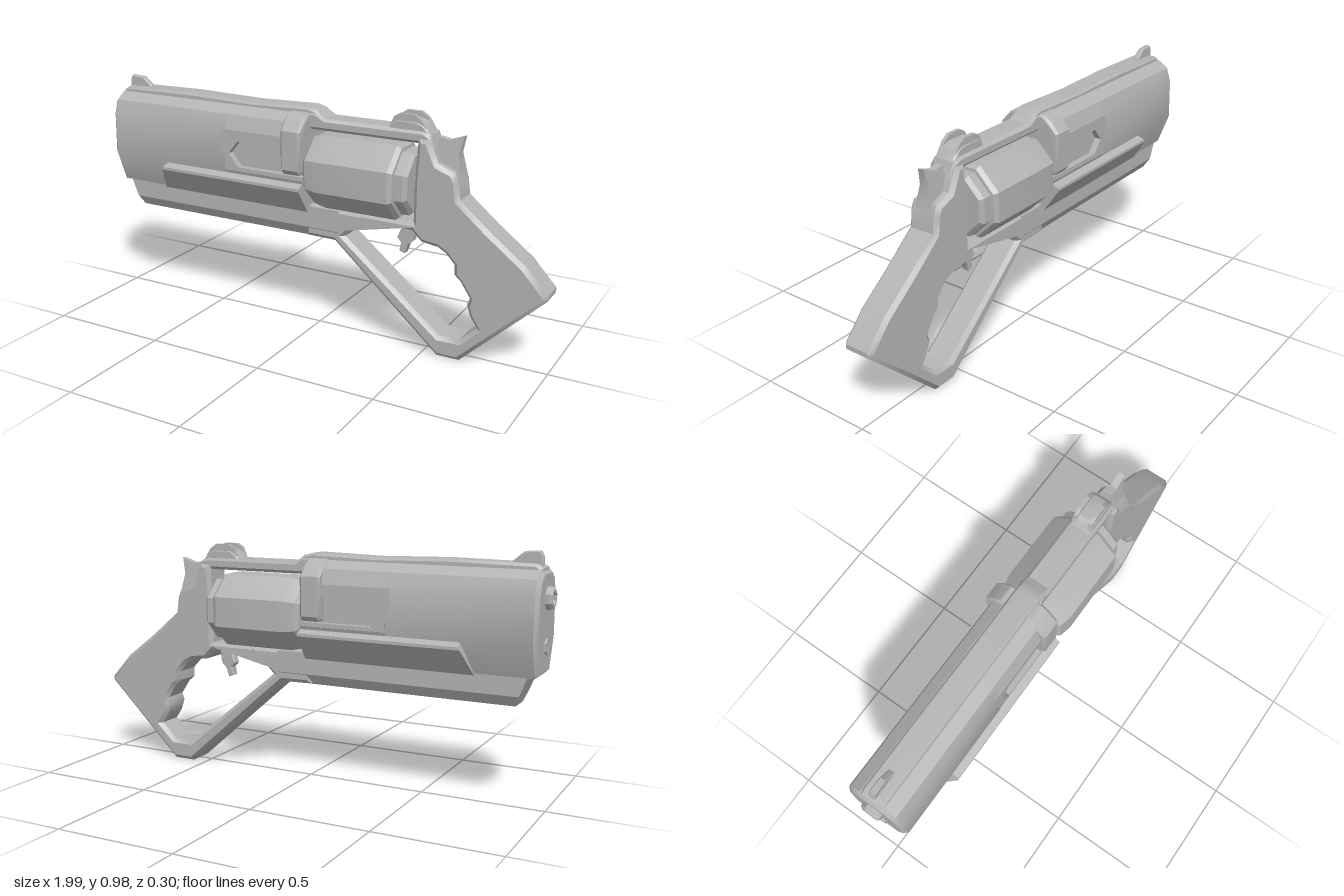
import * as THREE from 'three';
import { toCreasedNormals } from 'three/addons/utils/BufferGeometryUtils.js';

const grey = new THREE.MeshStandardMaterial({ color: 0xb4b4b4 });
grey.name = 'grey metal';

const toShape = (pts) => new THREE.Shape(pts.map(([x, y]) => new THREE.Vector2(x, y)));

// Extrusion of given total depth, centred on z = 0, outline kept at full size
function extrude(pts, depth, bevel, holes = []) {
  const shape = toShape(pts);
  holes.forEach((h) => shape.holes.push(toShape(h)));
  const geo = new THREE.ExtrudeGeometry(shape, {
    depth: depth - 2 * bevel,
    bevelEnabled: bevel > 0,
    bevelThickness: bevel,
    bevelSize: bevel,
    bevelOffset: -bevel,
    bevelSegments: 1,
  });
  geo.translate(0, 0, -(depth / 2 - bevel));
  return geo;
}

// Side profile (x, y) with thickness across z
const profile = (pts, halfWidth, bevel = 0, holes) => extrude(pts, halfWidth * 2, bevel, holes);

// Half cross-section (z, y), top to bottom, mirrored and run along x
function section(half, x0, x1, bevel = 0) {
  const mirrored = half.map(([z, y]) => [-z, y]).reverse();
  const geo = extrude([...half, ...mirrored], x1 - x0, bevel);
  geo.rotateY(Math.PI / 2);
  geo.translate((x0 + x1) / 2, 0, 0);
  return geo;
}

// Turned part along x: points are [x, radius]
function turned(pts, sides, y, phase = Math.PI / sides) {
  const geo = new THREE.LatheGeometry(pts.map(([x, r]) => new THREE.Vector2(r, x)), sides, phase);
  geo.rotateZ(-Math.PI / 2);
  geo.translate(0, y, 0);
  return geo;
}

export function createModel() {
  const model = new THREE.Group();
  const add = (name, geo, crease = 0.5) => {
    const mesh = new THREE.Mesh(toCreasedNormals(geo, crease), grey);
    mesh.name = name;
    model.add(mesh);
    return mesh;
  };

  // Barrel shroud: solid front block, then a slotted rear part
  add('shroudFront', section(
    [[0.055, 0.92], [0.1, 0.89], [0.12, 0.83], [0.125, 0.66], [0.075, 0.525]], -0.975, -0.37, 0.015));
  add('shroudCore', section(
    [[0.055, 0.92], [0.1, 0.89], [0.12, 0.83], [0.095, 0.825], [0.095, 0.665], [0.125, 0.66], [0.075, 0.525]],
    -0.4, -0.015));
  const slotPlate = [
    [-0.4, 0.66], [-0.015, 0.66], [-0.015, 0.675], [-0.32, 0.675], [-0.365, 0.73],
    [-0.32, 0.785], [-0.015, 0.785], [-0.015, 0.83], [-0.4, 0.83],
  ];
  for (const side of [1, -1]) {
    const plate = profile(slotPlate, 0.016);
    plate.translate(0, 0, side * 0.107);
    add(side > 0 ? 'slotPlateLeft' : 'slotPlateRight', plate);
  }

  // Lower side ledges, with raked front ends
  const ledge = section([[0.11, 0.65], [0.15, 0.632], [0.15, 0.62], [0.08, 0.518]], -0.7, -0.015);
  const p = ledge.attributes.position;
  for (let i = 0; i < p.count; i++) {
    if (p.getX(i) < -0.6) p.setX(i, -0.69 - (0.635 - p.getY(i)) * 0.35);
  }
  add('sideLedges', ledge);

  // Bracket at the rear of the shroud
  add('rearBracket', section(
    [[0.07, 0.925], [0.1, 0.905], [0.14, 0.86], [0.14, 0.7], [0.125, 0.68]], -0.108, -0.018, 0.01));

  // Muzzle ring and lower bore
  add('muzzle', turned(
    [[-0.9, 0.026], [-1, 0.026], [-1, 0.036], [-0.99, 0.045], [-0.96, 0.045]].reverse().map(([x, r]) => [x, r]).reverse()
      .reverse(), 8, 0.815));
  add('muzzleBack', turned([[-0.978, 0], [-0.978, 0.03]].reverse(), 8, 0.815)).material = grey;
  add('lowerBore', turned([[-0.96, 0.03], [-0.983, 0.03], [-0.983, 0.02], [-0.977, 0]], 6, 0.635));

  // Top rail and sights
  add('topRail', profile(
    [[-0.965, 0.9], [-0.02, 0.9], [0.05, 0.9], [0.01, 0.935], [-0.03, 0.945], [-0.3, 0.938],
      [-0.6, 0.945], [-0.94, 0.94], [-0.965, 0.925]], 0.05, 0.01));
  add('frontSight', profile(
    [[-0.955, 0.93], [-0.84, 0.93], [-0.84, 0.945], [-0.885, 0.982], [-0.945, 0.985], [-0.955, 0.965]], 0.013, 0.004));
  add('rearSightBase', profile(
    [[0.31, 0.89], [0.5, 0.89], [0.47, 0.93], [0.44, 0.942], [0.36, 0.942], [0.34, 0.93]], 0.045, 0.008));
  for (const side of [1, -1]) {
    const ear = profile(
      [[0.33, 0.915], [0.48, 0.915], [0.46, 0.945], [0.43, 0.965], [0.37, 0.965], [0.345, 0.95]], 0.008);
    ear.translate(0, 0, side * 0.034);
    add(side > 0 ? 'rearSightLeft' : 'rearSightRight', ear);
  }

  // Under-barrel rail with chamfered lower edges and sloped nose
  const rail = section([[0.07, 0.54], [0.07, 0.45], [0.045, 0.408]], -0.92, 0.12);
  const r = rail.attributes.position;
  for (let i = 0; i < r.count; i++) {
    if (r.getX(i) < -0.9) r.setX(i, -0.885 - (r.getY(i) - 0.41) * 0.4);
  }
  add('underRail', rail);

  // Frame, grip and guard bar as one loop around the trigger opening
  const guardOpening = [
    [0.147, 0.435], [0.57, 0.09], [0.655, 0.09], [0.725, 0.155], [0.695, 0.2], [0.68, 0.245],
    [0.69, 0.275], [0.65, 0.335], [0.622, 0.36], [0.622, 0.4], [0.585, 0.44], [0.55, 0.46],
    [0.48, 0.47], [0.44, 0.51], [0.233, 0.515],
  ];
  add('frameAndGrip', profile(
    [[-0.03, 0.41], [0.1, 0.408], [0.562, 0.003], [0.657, 0.003], [0.993, 0.325], [0.993, 0.345],
      [0.9, 0.447], [0.757, 0.556], [0.632, 0.66], [0.622, 0.73], [0.607, 0.765], [0.54, 0.79],
      [0.5, 0.88], [0.455, 0.88], [0.445, 0.7], [0.445, 0.545], [-0.03, 0.545]],
    0.068, 0.016, [guardOpening]), 0.7);

  // Strap over the cylinder
  add('topStrap', profile(
    [[-0.03, 0.858], [0.47, 0.858], [0.52, 0.84], [0.5, 0.895], [0.47, 0.907], [0.05, 0.907],
      [0.01, 0.93], [-0.03, 0.93]], 0.055, 0.012));

  // Eight-sided cylinder, flats facing sideways and up
  const k = 1 / Math.cos(Math.PI / 8);
  add('cylinder', turned(
    [[-0.01, 0], [-0.01, 0.12 * k], [0.005, 0.138 * k], [0.06, 0.15 * k], [0.37, 0.15 * k],
      [0.388, 0.138 * k], [0.39, 0.125 * k], [0.425, 0.125 * k], [0.44, 0.11 * k], [0.44, 0]].reverse(),
    8, 0.693).scale(1, 1, 1), 0.4);
  model.getObjectByName('cylinder').material = grey;
  add('cylinderAxle', turned([[0.47, 0], [0.47, 0.05], [-0.04, 0.05], [-0.04, 0]], 8, 0.693));

  // Trigger
  add('trigger', profile(
    [[0.39, 0.53], [0.36, 0.455], [0.378, 0.435], [0.37, 0.4], [0.395, 0.393], [0.407, 0.43],
      [0.43, 0.452], [0.44, 0.53]], 0.018, 0.004));

  // Hammer, narrowing toward its spur
  const hammer = profile(
    [[0.5, 0.78], [0.56, 0.72], [0.625, 0.745], [0.607, 0.83], [0.623, 0.898], [0.564, 0.877], [0.525, 0.885]], 0.035);
  const h = hammer.attributes.position;
  for (let i = 0; i < h.count; i++) {
    h.setZ(i, h.getZ(i) * THREE.MathUtils.mapLinear(h.getY(i), 0.72, 0.9, 1.05, 0.35));
  }
  add('hammer', hammer);

  // Turned parts are closed shells; show both faces so their hollow ends stay visible
  grey.side = THREE.DoubleSide;
  return model;
}
